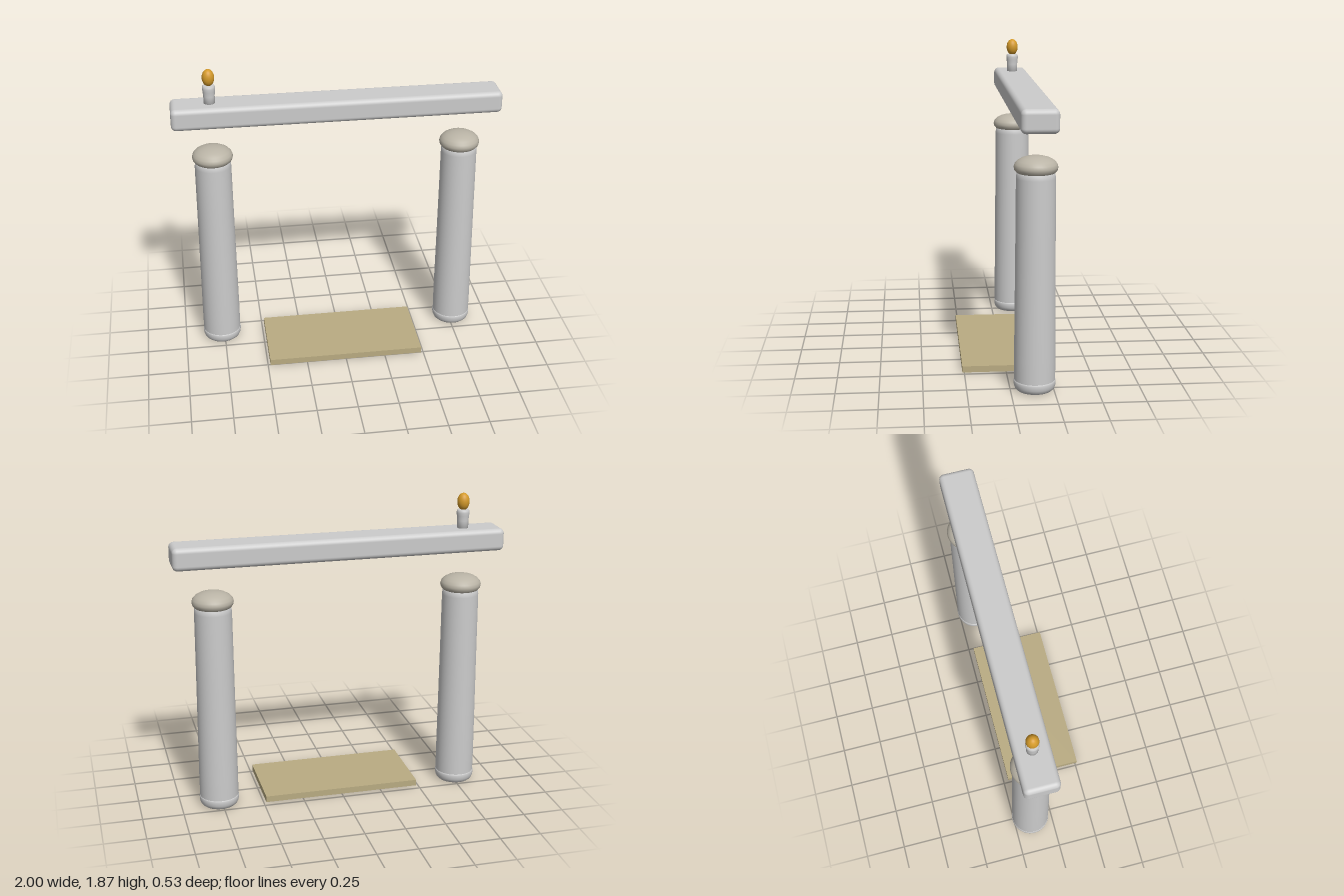
import * as THREE from 'three';
import { RoundedBoxGeometry } from 'three/addons/geometries/RoundedBoxGeometry.js';

const material = (color = 0xcccccc) => new THREE.MeshStandardMaterial({ color });
const stone = material();
const capStone = material(0xbab4a6);
const sand = material(0xb9ab82);
const gold = material(0xd49a2a);

const AXIS_Z = -0.14;   // depth of pillars, beam and candle
const PILLAR_X = 0.765;

function add(parent, name, geometry, mat, x = 0, y = 0, z = 0) {
  const mesh = new THREE.Mesh(geometry, mat);
  mesh.name = name;
  mesh.position.set(x, y, z);
  parent.add(mesh);
  return mesh;
}

function lathe(points, segments = 40) {
  return new THREE.LatheGeometry(points.map(([r, y]) => new THREE.Vector2(r, y)), segments);
}

// Pillar: rounded foot, slightly tapering shaft and a domed cushion cap
function createPillar(name, x) {
  const pillar = new THREE.Group();
  pillar.name = name;
  pillar.position.set(x, 0, AXIS_Z);
  add(pillar, 'foot', lathe([
    [0, 0], [0.085, 0], [0.101, 0.004], [0.113, 0.015], [0.119, 0.03],
    [0.121, 0.045], [0.121, 0.058], [0.118, 0.066], [0.11, 0.068],
  ]), stone);
  add(pillar, 'shaft', lathe([
    [0.118, 0.05], [0.1185, 0.2], [0.116, 0.5], [0.113, 0.9],
    [0.111, 1.24], [0.108, 1.265], [0.1, 1.275], [0, 1.275],
  ]), stone);
  add(pillar, 'cap', lathe([
    [0, 1.266], [0.088, 1.266], [0.108, 1.272], [0.12, 1.286], [0.124, 1.303],
    [0.119, 1.321], [0.104, 1.338], [0.08, 1.352], [0.05, 1.361], [0.022, 1.365], [0, 1.365],
  ]), capStone);
  return pillar;
}

// Candle: soft-edged wax stem with an egg-shaped flame
function createCandle() {
  const candle = new THREE.Group();
  candle.name = 'candle';
  candle.position.set(-PILLAR_X, 0, AXIS_Z);
  add(candle, 'wax', lathe([
    [0, 1.64], [0.034, 1.64], [0.034, 1.7], [0.037, 1.73], [0.039, 1.748],
    [0.037, 1.761], [0.03, 1.767], [0, 1.767],
  ], 28), stone);
  const flame = add(candle, 'flame', new THREE.SphereGeometry(1, 28, 20), gold, 0, 1.814, 0);
  flame.scale.set(0.037, 0.052, 0.037);
  return candle;
}

export function createModel() {
  const gate = new THREE.Group();
  gate.name = 'gate';
  gate.add(createPillar('leftPillar', PILLAR_X), createPillar('rightPillar', -PILLAR_X));
  // Floating crossbeam with rounded edges
  add(gate, 'beam', new RoundedBoxGeometry(2, 0.135, 0.21, 5, 0.03), stone, 0, 1.587, AXIS_Z);
  gate.add(createCandle());
  // Flat slab on the ground between the pillars
  add(gate, 'slab', new THREE.BoxGeometry(0.97, 0.038, 0.48), sand, 0, 0.024, 0.022);
  return gate;
}
